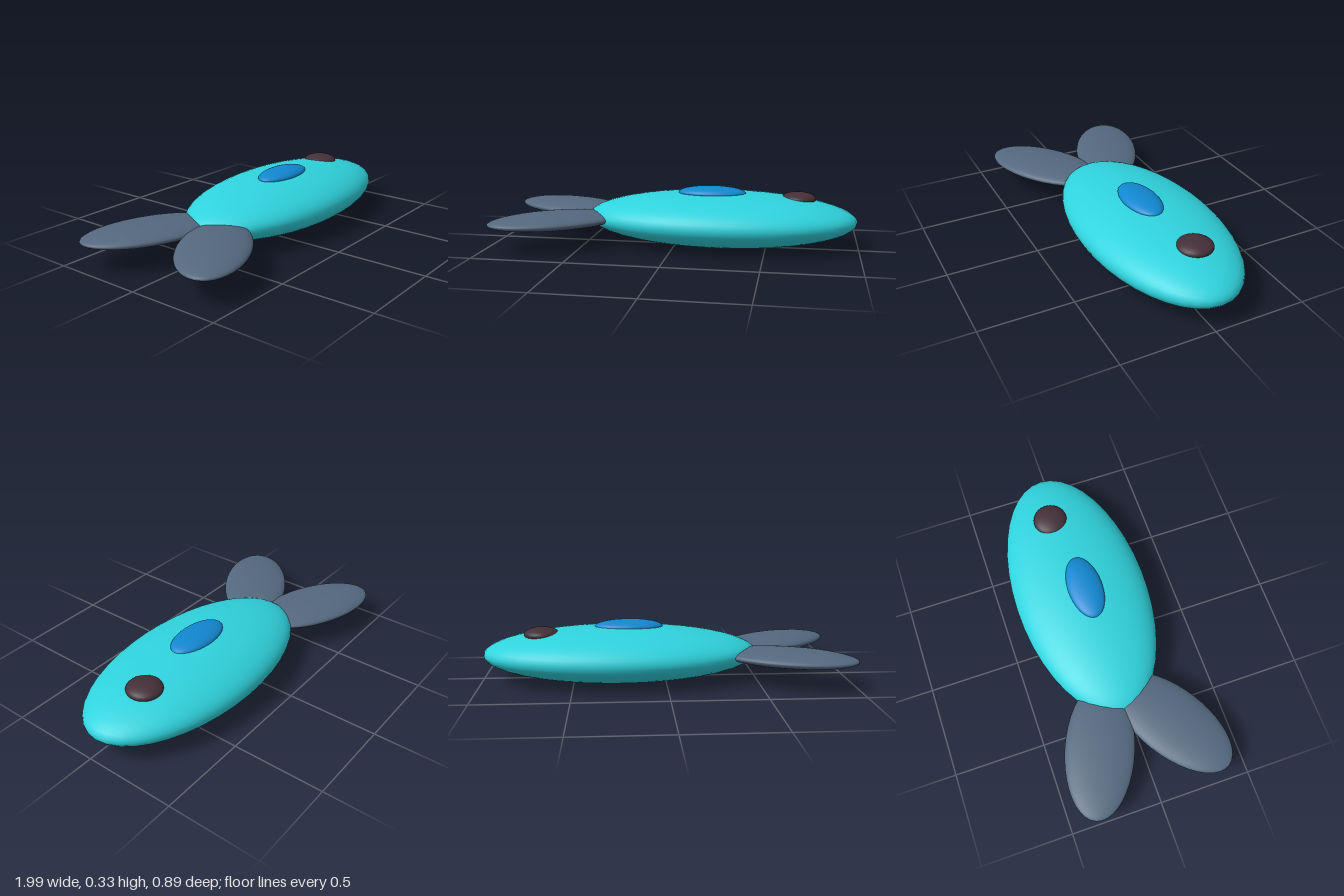
import * as THREE from 'three';

const paint = (name, color) => {
  const m = new THREE.MeshStandardMaterial({ color });
  m.name = name;
  return m;
};

export function createModel() {
  const group = new THREE.Group();
  group.name = 'fish';

  const turquoise = paint('turquoise', 0x2fd3dd);
  const slate = paint('slate', 0x54687e);
  const blue = paint('blue', 0x1187d0);
  const darkBrown = paint('dark brown', 0x442f38);

  // Every part is a stretched sphere
  const ball = new THREE.SphereGeometry(1, 40, 28);
  const ellipsoid = (name, material, radii, position, turn = 0) => {
    const mesh = new THREE.Mesh(ball, material);
    mesh.name = name;
    mesh.scale.set(...radii);
    mesh.position.set(...position);
    mesh.rotation.y = THREE.MathUtils.degToRad(turn);
    group.add(mesh);
  };

  // Flattened body
  ellipsoid('body', turquoise, [0.745, 0.148, 0.373], [0.245, 0.15, -0.037]);

  // Two splayed tail fins
  ellipsoid('tailFinBack', slate, [0.373, 0.044, 0.186], [-0.648, 0.152, -0.226], -22);
  ellipsoid('tailFinFront', slate, [0.373, 0.044, 0.186], [-0.634, 0.152, 0.19], 32);

  // Low dome on the back and the eye near the nose
  ellipsoid('backDome', blue, [0.186, 0.037, 0.096], [0.2, 0.293, -0.02]);
  ellipsoid('eye', darkBrown, [0.095, 0.037, 0.095], [0.67, 0.265, -0.072]);

  return group;
}
